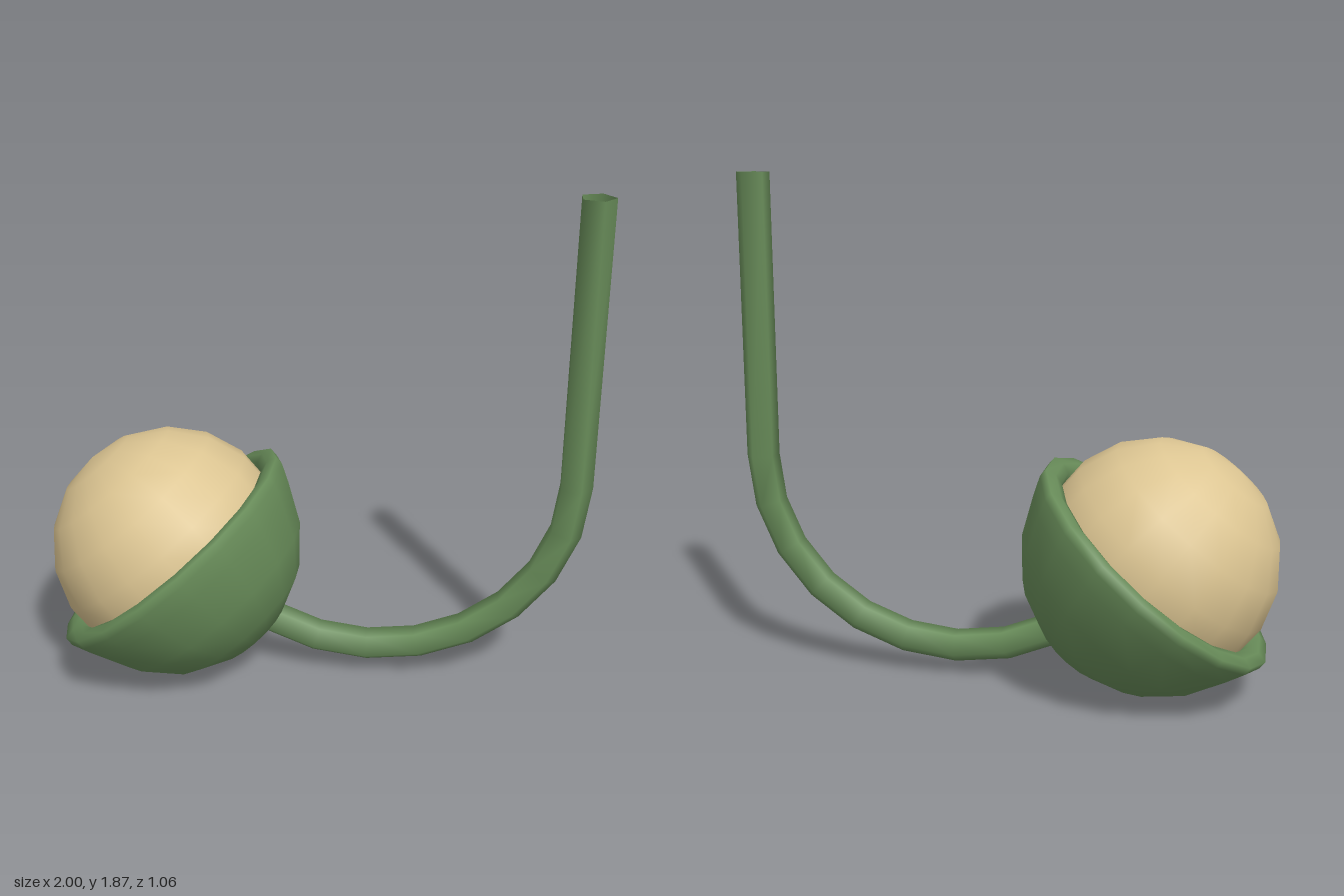
import * as THREE from 'three';

const deg = Math.PI / 180;

// Five-sided tube in the z = 0 plane; each ring has one corner on the outside of the bend.
function bentTube(rings, radius, sides) {
  const pos = [], idx = [];
  rings.forEach(({ x, y, nx, ny }, i) => {
    for (let k = 0; k < sides; k++) {
      const a = (k / sides) * Math.PI * 2;
      const out = radius * Math.cos(a);
      pos.push(x + nx * out, y + ny * out, radius * Math.sin(a));
      if (i === 0) continue;
      const k2 = (k + 1) % sides;
      const a0 = (i - 1) * sides + k, b0 = (i - 1) * sides + k2;
      const a1 = i * sides + k, b1 = i * sides + k2;
      idx.push(a0, a1, b0, b0, a1, b1);
    }
  });
  const g = new THREE.BufferGeometry();
  g.setAttribute('position', new THREE.Float32BufferAttribute(pos, 3));
  g.setIndex(idx);
  g.computeVertexNormals();
  return g;
}

export function createModel() {
  const group = new THREE.Group();
  const green = new THREE.MeshStandardMaterial({ color: 0x688c59, side: THREE.DoubleSide });
  green.name = 'leafGreen';
  const tan = new THREE.MeshStandardMaterial({ color: 0xdcc592 });
  tan.name = 'paleTan';

  // Tilted head: ball sitting in a cup
  const head = new THREE.Group();
  head.name = 'head';
  head.position.set(-0.566, 0.493, 0);
  head.rotation.z = 40 * deg;
  group.add(head);

  const ballGeo = new THREE.SphereGeometry(0.446, 18, 9);
  ballGeo.rotateY(Math.PI / 2);
  const ball = new THREE.Mesh(ballGeo, tan);
  ball.name = 'ball';
  head.add(ball);

  // Round bowl with a slightly flared lip that closes in on the ball
  const profile = [0, 20, 40, 60].map(
    (a) => new THREE.Vector2(0.5 * Math.sin(a * deg), -0.5 * Math.cos(a * deg)));
  [[0.502, -0.1], [0.53, -0.03], [0.53, 0.004], [0.49, 0.012], [0.452, 0], [0.44, -0.04]]
    .forEach(([r, y]) => profile.push(new THREE.Vector2(r, y)));
  const cup = new THREE.Mesh(new THREE.LatheGeometry(profile, 18), green);
  cup.name = 'cup';
  head.add(cup);

  // Stem: sweeps out from under the cup, then rises straight
  const rings = [];
  for (let a = -45; a <= 90; a += 15) {
    const s = Math.sin(a * deg), c = Math.cos(a * deg);
    rings.push({ x: 0.19 + 0.7465 * s, y: 0.813 - 0.71 * c, nx: s, ny: -c });
  }
  rings.push({ x: 0.9365, y: 1.87, nx: 1, ny: 0 });
  const stem = new THREE.Mesh(bentTube(rings, 0.0635, 5), green);
  stem.name = 'stem';
  group.add(stem);

  return group;
}
